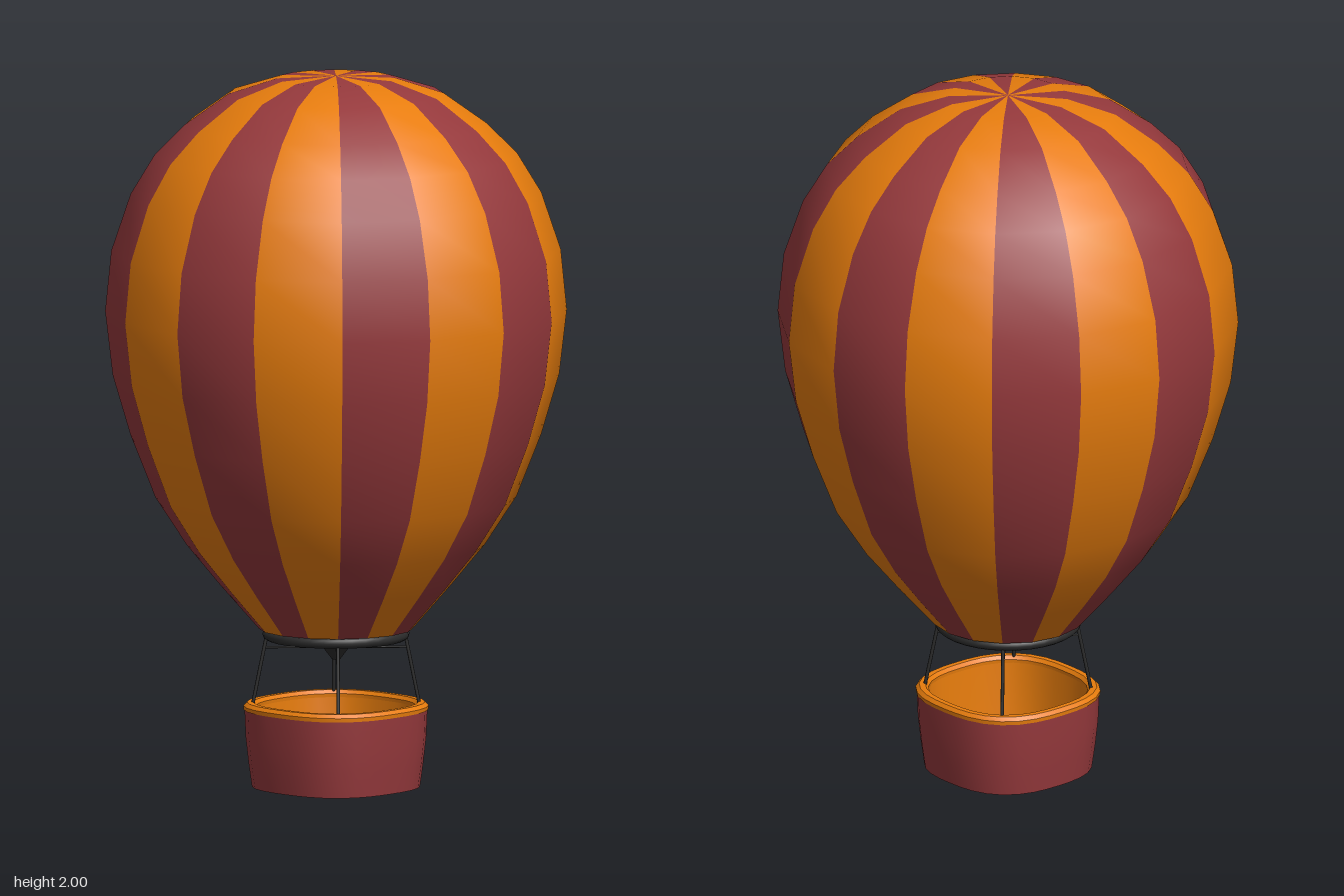
import * as THREE from 'three';
import { toCreasedNormals } from 'three/addons/utils/BufferGeometryUtils.js';

const mat = (name, color, side = THREE.FrontSide) => {
  const m = new THREE.MeshStandardMaterial({ color, side });
  m.name = name;
  return m;
};
const points = (list) => list.map(([x, y]) => new THREE.Vector2(x, y));

function addMesh(parent, name, geometry, material) {
  const mesh = new THREE.Mesh(geometry, material);
  mesh.name = name;
  parent.add(mesh);
  return mesh;
}

// Lathe whose round sections are pushed out into soft squares
function softSquareLathe(profile) {
  const geo = new THREE.LatheGeometry(points(profile), 32);
  const pos = geo.attributes.position;
  const n = 2.65;
  for (let i = 0; i < pos.count; i++) {
    const x = pos.getX(i), z = pos.getZ(i), r = Math.hypot(x, z);
    if (r < 1e-6) continue;
    const k = Math.pow(Math.abs(x / r) ** n + Math.abs(z / r) ** n, -1 / n);
    pos.setXYZ(i, x * k, pos.getY(i), z * k);
  }
  return toCreasedNormals(geo, 0.7);
}

// Thin round bar between two points
function addBar(parent, name, a, b, radius, material) {
  const dir = b.clone().sub(a);
  const bar = addMesh(parent, name, new THREE.CylinderGeometry(radius, radius, dir.length(), 8), material);
  bar.position.copy(a).add(b).multiplyScalar(0.5);
  bar.quaternion.setFromUnitVectors(new THREE.Vector3(0, 1, 0), dir.normalize());
}

export function createModel() {
  const model = new THREE.Group();
  model.name = 'hotAirBalloon';
  const red = mat('red', 0x95393c, THREE.DoubleSide);
  const orange = mat('orange', 0xe87d0d, THREE.DoubleSide);
  const dark = mat('darkMetal', 0x2b2b2b);

  // Envelope: sixteen gores in alternating colours
  const envelope = new THREE.Group();
  envelope.name = 'envelope';
  model.add(envelope);
  const profile = points([
    [0.215, 0.445], [0.32, 0.565], [0.415, 0.68], [0.503, 0.815], [0.572, 0.99], [0.622, 1.16], [0.643, 1.34],
    [0.626, 1.51], [0.572, 1.67], [0.505, 1.78], [0.42, 1.865], [0.3, 1.95], [0.165, 1.993], [0, 2],
  ]);
  const gores = 16, step = (Math.PI * 2) / gores;
  for (let i = 0; i < gores; i++) {
    addMesh(envelope, `gore${i + 1}`, new THREE.LatheGeometry(profile, 1, i * step, step), i % 2 ? orange : red);
  }

  // Ring under the mouth
  const ring = addMesh(model, 'mouthRing', new THREE.TorusGeometry(0.19, 0.015, 10, 32), dark);
  ring.rotation.x = Math.PI / 2;
  ring.position.y = 0.43;

  // Basket: outer wall with floor, lining and rolled rim
  const basket = new THREE.Group();
  basket.name = 'basket';
  model.add(basket);
  addMesh(basket, 'basketWall', softSquareLathe([[0, 0], [0.215, 0], [0.224, 0.07], [0.231, 0.14], [0.234, 0.217]]), red);
  addMesh(basket, 'basketLining', softSquareLathe([[0.205, 0.22], [0.2, 0.1], [0.195, 0.02], [0, 0.02]]), orange);
  addMesh(basket, 'basketRim', softSquareLathe([
    [0.205, 0.217], [0.236, 0.217], [0.237, 0.228], [0.228, 0.238], [0.212, 0.238], [0.204, 0.228], [0.205, 0.217],
  ]), orange);

  // Four ropes, and burner arms crossing between them
  for (const sx of [-1, 1]) {
    for (const sz of [-1, 1]) {
      addBar(model, 'rope', new THREE.Vector3(sx * 0.165, 0.225, sz * 0.165),
        new THREE.Vector3(sx * 0.136, 0.43, sz * 0.136), 0.005, dark);
    }
    addBar(model, 'burnerArm', new THREE.Vector3(-0.141, 0.392, -0.141 * sx),
      new THREE.Vector3(0.141, 0.392, 0.141 * sx), 0.003, dark);
  }

  // Burner
  const burner = addMesh(model, 'burner', new THREE.CylinderGeometry(0.04, 0.012, 0.037, 12), dark);
  burner.position.y = 0.377;
  return model;
}
